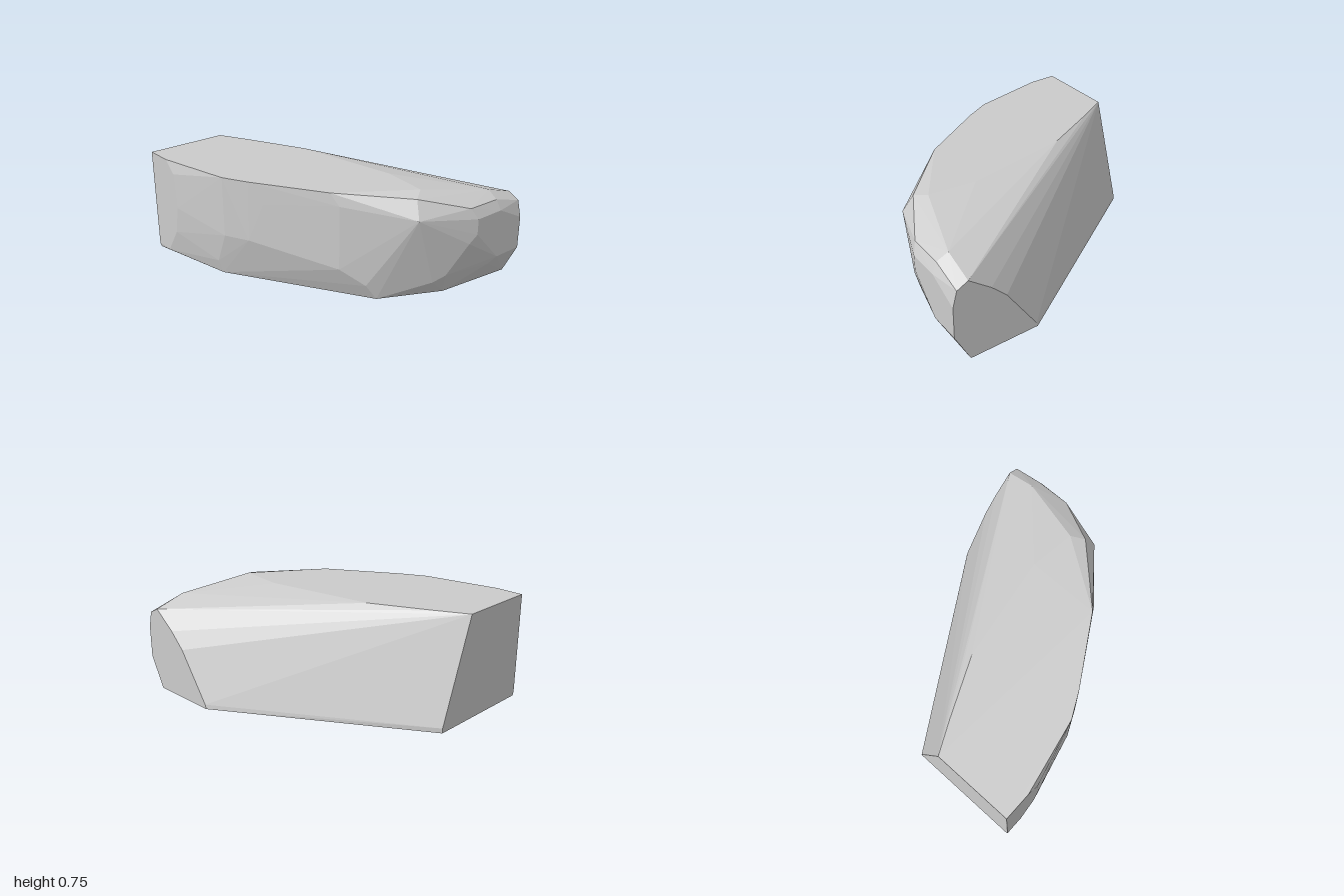
import * as THREE from 'three';
import { ConvexGeometry } from 'three/addons/geometries/ConvexGeometry.js';

// A faceted boulder: the convex hull of a few outlines.
export function createModel() {
  const group = new THREE.Group();
  group.name = 'boulder';

  // flat base, [x, z] at y = 0
  const base = [[-0.83, -1], [-0.01, -1], [0.84, 0.38], [0.84, 0.89], [0.29, 0.83], [-0.13, 0.62], [-0.7, -0.35]]
    .map(([x, z]) => [x, 0, z]);

  // flat top, [x, z] at y = 0.755
  const top = [[-0.84, -1], [-0.26, -1], [-0.15, -0.78], [0.04, -0.37], [0.17, 0.4], [0.13, 0.73],
    [-0.35, 0.4], [-0.64, -0.08], [-0.73, -0.26], [-0.84, -0.8]].map(([x, z]) => [x, 0.755, z]);

  // cut end on the left, [y, z] at x = 0.84
  const end = [[0.22, 1], [0.45, 1], [0.565, 0.97], [0.605, 0.89], [0.48, 0.73], [0.37, 0.62], [0.03, 0.39]]
    .map(([y, z]) => [0.84, y, z]);

  // rough outer side, [x, y, z]
  const side = [
    [-0.84, 0.03, -1], [-0.01, 0.035, -1],
    [-0.84, 0.67, -0.71], [-0.84, 0.42, -0.69], [-0.84, 0.22, -0.73], [-0.84, 0.03, -0.86],
    [-0.73, 0.33, -0.26], [-0.73, 0.1, -0.36], [-0.65, 0.33, -0.09], [-0.59, 0.61, 0.01],
    [-0.32, 0.22, 0.46], [-0.32, 0.67, 0.46], [-0.2, 0.11, 0.59],
    [0, 0.61, 0.855], [0.04, 0.73, 0.79], [0.17, 0.11, 0.84], [0.24, 0.16, 0.89],
    [0.35, 0.39, 0.98], [0.4, 0.45, 1], [0.4, 0.56, 1], [0.57, 0.17, 0.97],
    [0.62, 0.22, 1], [0.62, 0.56, 1], [0.36, 0.635, 0.965], [0.61, 0.63, 0.965], [0.62, 0.675, 0.885],
  ];

  const points = [...base, ...top, ...end, ...side].map((p) => new THREE.Vector3(...p));
  const rock = new THREE.Mesh(
    new ConvexGeometry(points),
    new THREE.MeshStandardMaterial({ color: 0xcccccc, flatShading: true }),
  );
  rock.name = 'rock';
  group.add(rock);
  return group;
}
